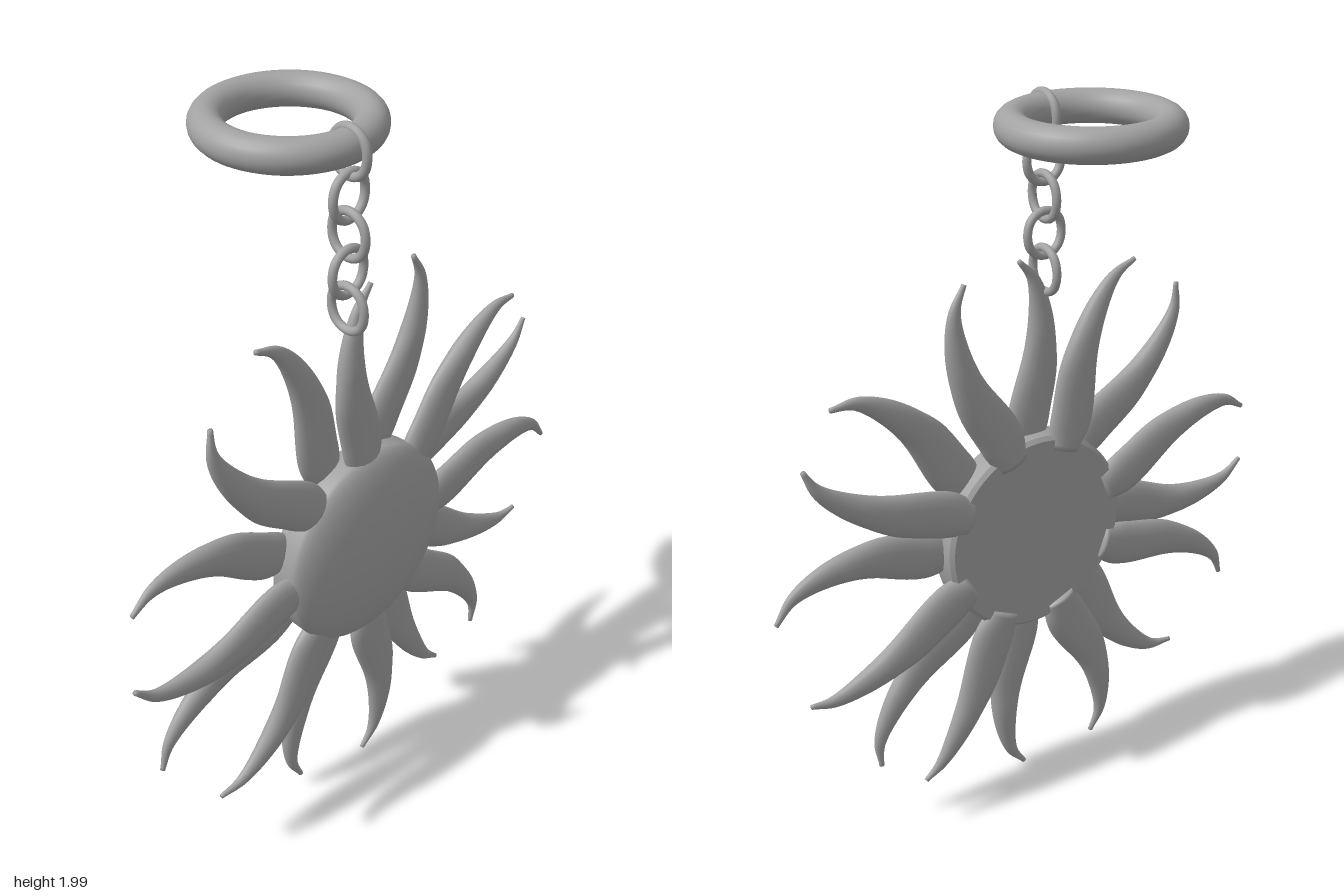
import * as THREE from 'three';
import { toCreasedNormals } from 'three/addons/utils/BufferGeometryUtils.js';

const metal = new THREE.MeshStandardMaterial({ color: 0xa2a2a2 });
metal.name = 'grey metal';

const CX = 0.005, CY = 0.8; // sun centre

function add(parent, name, geometry) {
  const mesh = new THREE.Mesh(geometry, metal);
  mesh.name = name;
  parent.add(mesh);
  return mesh;
}

// Wavy tapering ray: elliptical sections swept along an S-curve.
// side = 1 bends one way in the front layer, -1 the other way in the back layer.
function rayGeometry(tipDeg, length, bend, side) {
  const zMid = side > 0 ? 0.174 : 0.124;
  const zTip = side > 0 ? 0.166 : 0.134;
  const path = [[0.24, 3], [0.33, 4], [0.48, 7.7], [0.62, 6.5], [0.72, 3.7], [0.775, 0]];
  const curve = new THREE.CatmullRomCurve3(path.map(([r, off], i) => {
    const a = THREE.MathUtils.degToRad(tipDeg + side * off * bend);
    const k = r * length / 0.775;
    const z = THREE.MathUtils.lerp(zMid, zTip, Math.max(0, i - 2) / 3);
    return new THREE.Vector3(CX + k * Math.cos(a), CY + k * Math.sin(a), z);
  }));
  // half width along the ray
  const width = new THREE.SplineCurve([
    [0, 0.05], [0.12, 0.066], [0.25, 0.062], [0.45, 0.044],
    [0.65, 0.029], [0.85, 0.015], [1, 0.007]
  ].map(p => new THREE.Vector2(...p)));
  const rows = 36, sides = 16, pos = [], index = [];
  for (let i = -1; i <= rows + 1; i++) {
    const t = Math.min(1, Math.max(0, i / rows));
    const c = curve.getPoint(t), d = curve.getTangent(t);
    const n = new THREE.Vector2(-d.y, d.x).normalize();
    const cap = i < 0 || i > rows ? 0.001 : 1;
    const w = cap * width.getPoint(t).y;
    const h = cap * Math.min(0.028, width.getPoint(t).y * 0.62 + 0.002);
    for (let j = 0; j < sides; j++) {
      const a = j / sides * Math.PI * 2, u = Math.cos(a) * w;
      pos.push(c.x + n.x * u, c.y + n.y * u, c.z + Math.sin(a) * h);
    }
  }
  for (let i = 0; i < rows + 2; i++) {
    for (let j = 0; j < sides; j++) {
      const k = (j + 1) % sides;
      const a = i * sides + j, b = i * sides + k, c = b + sides, d = a + sides;
      index.push(a, b, c, a, c, d);
    }
  }
  const g = new THREE.BufferGeometry();
  g.setAttribute('position', new THREE.Float32BufferAttribute(pos, 3));
  g.setIndex(index);
  g.computeVertexNormals();
  return g;
}

export function createModel() {
  const model = new THREE.Group();
  model.name = 'sunKeychain';

  // Domed disc with a flat back
  const profile = [new THREE.Vector2(0, 0.11), new THREE.Vector2(0.272, 0.11),
    new THREE.Vector2(0.283, 0.12), new THREE.Vector2(0.286, 0.18)];
  for (let i = 1; i <= 14; i++) {
    const a = i / 14 * Math.PI / 2;
    profile.push(new THREE.Vector2(i === 14 ? 0 : 0.286 * Math.cos(a), 0.18 + 0.072 * Math.sin(a)));
  }
  const disc = add(model, 'sunDisc', toCreasedNormals(new THREE.LatheGeometry(profile, 72), 0.6));
  disc.rotation.x = Math.PI / 2;
  disc.position.set(CX, CY, 0);

  // Rays in two layers: tip angle, length, bend
  const rays = new THREE.Group();
  rays.name = 'rays';
  model.add(rays);
  const front = [[89, 0.768, 0.95], [41, 0.768, 1], [-3, 0.776, 1.2], [-50, 0.777, 1],
    [-88.5, 0.79, 0.9], [-133, 0.782, 1], [-178.5, 0.788, 1], [130.6, 0.79, 1]];
  const back = [[75, 0.782, 1.05], [29, 0.78, 0.75], [-22.5, 0.77, 0.65], [-61, 0.78, 0.5],
    [-105, 0.782, 1], [-152, 0.79, 1], [167, 0.774, 1.1], [115.4, 0.79, 1]];
  front.forEach(r => add(rays, 'frontRay', rayGeometry(...r, 1)));
  back.forEach(r => add(rays, 'backRay', rayGeometry(...r, -1)));

  // Chain of oval links, alternately turned a quarter
  const chain = new THREE.Group();
  chain.name = 'chain';
  model.add(chain);
  [1.93, 1.822, 1.725, 1.628, 1.53].forEach((y, i) => {
    const g = new THREE.TorusGeometry(0.053, 0.0115, 12, 40);
    const p = g.attributes.position;
    for (let k = 0; k < p.count; k++) {
      p.setY(k, p.getY(k) + 0.006 * Math.max(-1, Math.min(1, p.getY(k) / 0.03)));
    }
    g.computeBoundingSphere();
    const link = add(chain, 'chainLink', g);
    link.position.set(-0.062, y, 0.166);
    if (i % 2 === 0) link.rotation.y = Math.PI / 2;
  });

  // Key ring lying flat
  const ring = add(model, 'keyRing', new THREE.TorusGeometry(0.191, 0.043, 20, 64));
  ring.rotation.x = Math.PI / 2;
  ring.position.set(-0.063, 1.946, -0.025);

  return model;
}
